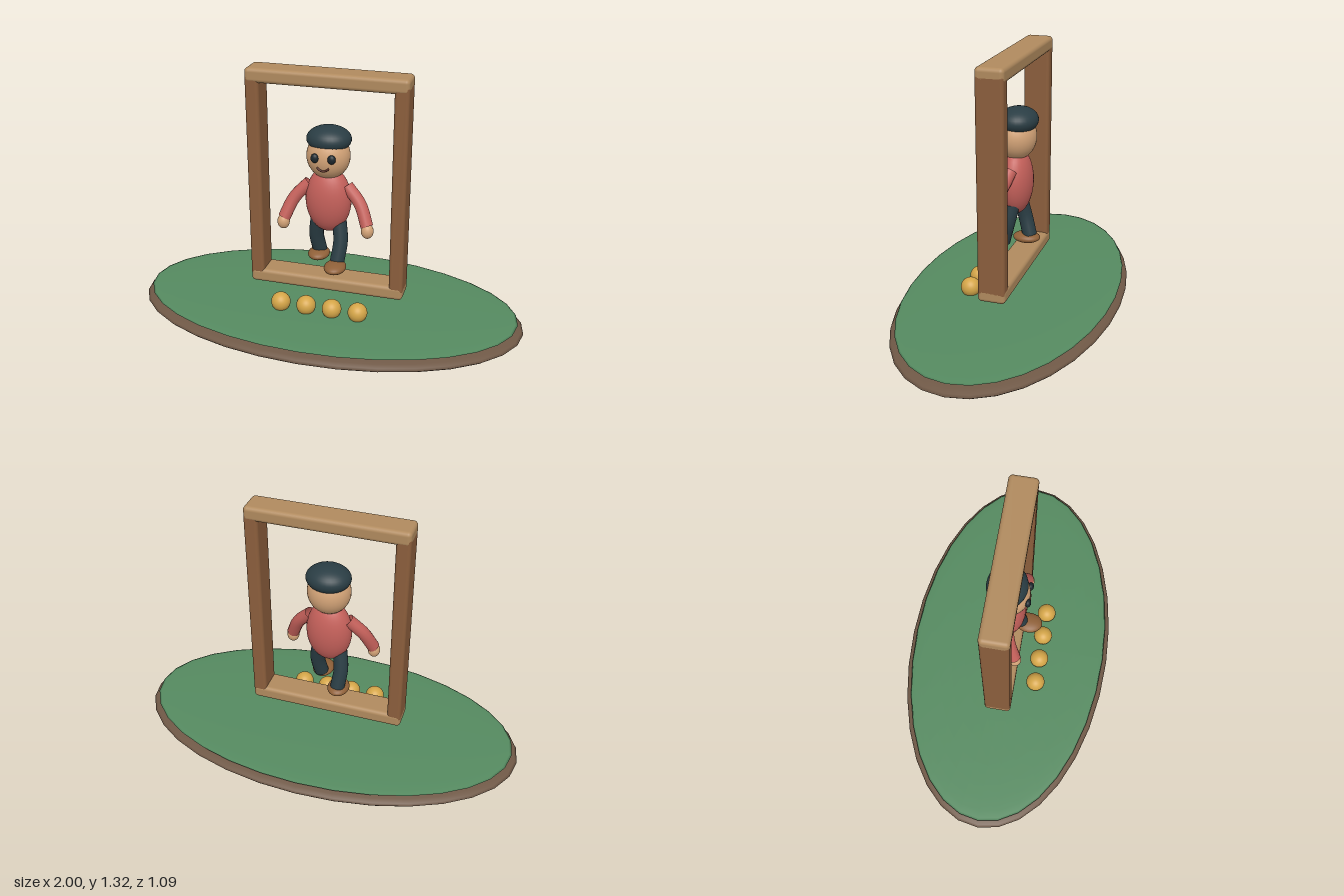
import * as THREE from 'three';
import { RoundedBoxGeometry } from 'three/addons/geometries/RoundedBoxGeometry.js';

const mat = (color, side = THREE.FrontSide) => new THREE.MeshStandardMaterial({ color, side });
const M = {
  earth: mat(0x6f5846), grass: mat(0x558a60), post: mat(0x8b5e3c), beam: mat(0xb08a5e),
  skin: mat(0xd3a377), shirt: mat(0xc4605a, THREE.DoubleSide), dark: mat(0x2a3d44, THREE.DoubleSide),
  shoe: mat(0x8f6038), ball: mat(0xd4a548), ink: mat(0x1c262c), mouth: mat(0x5a2c22),
};

function add(parent, name, geometry, material, x = 0, y = 0, z = 0) {
  const mesh = new THREE.Mesh(geometry, material);
  mesh.name = name;
  mesh.position.set(x, y, z);
  parent.add(mesh);
  return mesh;
}

// Sphere stretched to three radii
function ellipsoid(parent, name, material, [x, y, z], [rx, ry, rz]) {
  const geometry = new THREE.SphereGeometry(1, 32, 20).scale(rx, ry, rz);
  return add(parent, name, geometry, material, x, y, z);
}

function tube(parent, name, material, points, radius) {
  const curve = new THREE.CatmullRomCurve3(points.map(p => new THREE.Vector3(...p)));
  return add(parent, name, new THREE.TubeGeometry(curve, 20, radius, 14), material);
}

function createBase() {
  const base = new THREE.Group();
  base.name = 'base';
  ellipsoid(base, 'earthDisc', M.earth, [0, 0.06, 0], [1, 0.06, 0.545]);
  ellipsoid(base, 'grassTop', M.grass, [0, 0.105, 0], [0.97, 0.018, 0.52]);
  return base;
}

function createFrame() {
  const frame = new THREE.Group();
  frame.name = 'frame';
  for (const s of [-1, 1]) {
    add(frame, s > 0 ? 'leftPost' : 'rightPost',
      new RoundedBoxGeometry(0.07, 1.07, 0.135, 4, 0.016), M.post, s * 0.363, 0.755, 0);
  }
  for (const [name, y] of [['topBeam', 1.285], ['bottomBeam', 0.223]]) {
    add(frame, name, new RoundedBoxGeometry(0.796, 0.072, 0.138, 4, 0.02), M.beam, 0, y, 0);
  }
  return frame;
}

function createFigure() {
  const figure = new THREE.Group();
  figure.name = 'figure';
  ellipsoid(figure, 'torso', M.shirt, [0, 0.67, 0], [0.116, 0.17, 0.083]);
  ellipsoid(figure, 'head', M.skin, [0, 0.9, 0], [0.108, 0.115, 0.1]);
  ellipsoid(figure, 'cap', M.dark, [0, 0.983, -0.01], [0.111, 0.065, 0.098]);
  tube(figure, 'smile', M.mouth,
    [[-0.03, 0.868, 0.094], [-0.016, 0.857, 0.097], [0, 0.853, 0.098],
      [0.016, 0.857, 0.097], [0.03, 0.868, 0.094]], 0.005);

  for (const s of [-1, 1]) {
    const side = s > 0 ? 'left' : 'right';
    ellipsoid(figure, side + 'Eye', M.ink, [s * 0.042, 0.914, 0.094], [0.02, 0.023, 0.015]);

    // Arms reach slightly forward
    tube(figure, side + 'Arm', M.shirt,
      [[s * 0.095, 0.75, 0], [s * 0.168, 0.67, 0.025], [s * 0.212, 0.572, 0.06]], 0.032);
    ellipsoid(figure, side + 'Hand', M.skin, [s * 0.215, 0.55, 0.064], [0.031, 0.038, 0.031]);

    // Left leg steps forward, right leg trails
    tube(figure, side + 'Leg', M.dark,
      [[s * 0.055, 0.57, 0], [s * 0.07, 0.46, s * 0.025], [s * 0.06, 0.36, s * 0.052]], 0.037);
    ellipsoid(figure, side + 'Shoe', M.shoe,
      [s * 0.061, 0.346, 0.03 + s * 0.065], [0.055, 0.027, 0.07]);
  }
  return figure;
}

export function createModel() {
  const model = new THREE.Group();
  model.name = 'walkingFigureInFrame';
  model.add(createBase(), createFrame(), createFigure());

  // Row of balls in front of the frame
  const balls = new THREE.Group();
  balls.name = 'balls';
  for (let i = 0; i < 4; i++) {
    ellipsoid(balls, 'ball', M.ball, [-0.2 + i * 0.1333, 0.154, 0.176], [0.049, 0.049, 0.049]);
  }
  model.add(balls);
  return model;
}
